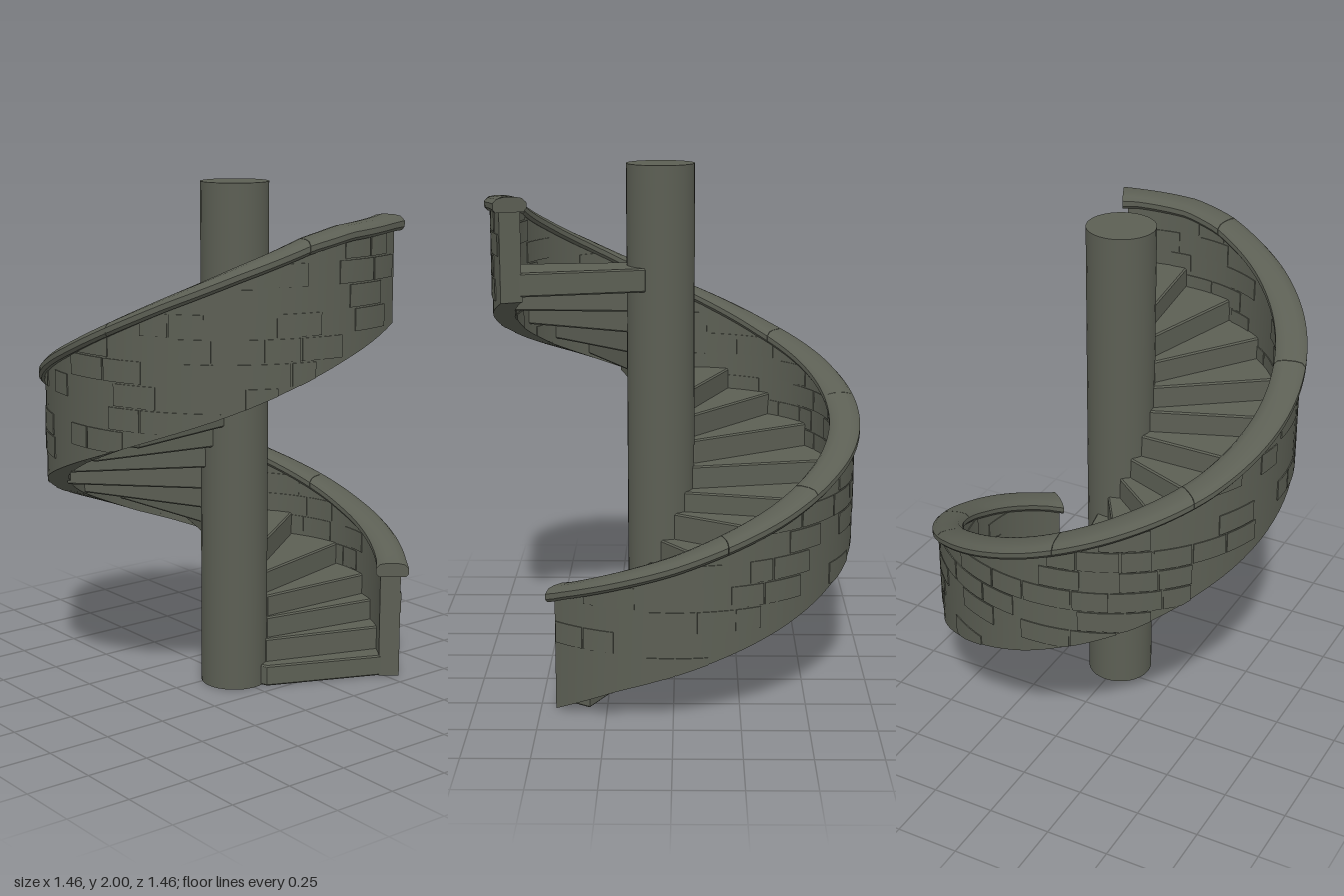
import * as THREE from 'three';
import { toCreasedNormals } from 'three/addons/utils/BufferGeometryUtils.js';

const RAD = Math.PI / 180;
const START = -39, END = 293;
const COLUMN_Z = 0.055;

// Heights along the spiral: [angle in degrees, height]
const TOP = [[-45, 0.47], [-39, 0.48], [0, 0.63], [34, 0.78], [57, 0.89], [90, 1.03], [123, 1.18], [146, 1.28],
  [180, 1.45], [215, 1.64], [236, 1.745], [257, 1.84], [270, 1.875], [300, 1.9]];
const BOTTOM = [[-39, 0], [-17, 0.12], [0, 0.19], [34, 0.33], [57, 0.43], [90, 0.56], [124, 0.72], [147, 0.84],
  [180, 0.99], [212, 1.13], [235, 1.23], [270, 1.4], [293, 1.5]];

// Treads: [angle of the front edge, height of the top]; the lowest ones are narrow
const TREADS = [[-39, 0.085], [-31, 0.18], [-22, 0.265], [-14, 0.35], [3, 0.44], [25, 0.535], [49, 0.64], [70, 0.72],
  [97, 0.81], [120, 0.905], [141, 0.995], [159, 1.08], [180, 1.17], [201, 1.26], [215, 1.35], [232, 1.44],
  [250, 1.53], [270, 1.61]];

function heightAt(table, a) {
  let i = 1;
  while (i < table.length - 1 && table[i][0] < a) i++;
  const [a0, y0] = table[i - 1], [a1, y1] = table[i];
  return y0 + (y1 - y0) * THREE.MathUtils.clamp((a - a0) / (a1 - a0), 0, 1);
}
const topAt = (a) => heightAt(TOP, a);
const bottomAt = (a) => heightAt(BOTTOM, a);

// Sweeps a counter-clockwise (radius, height) section around the spiral, with end caps
function sweep(a0, a1, section, stepSize = 4) {
  const n = Math.max(1, Math.ceil((a1 - a0) / stepSize));
  const pos = [], idx = [];
  let m = 0;
  for (let k = 0; k <= n; k++) {
    const a = a0 + (a1 - a0) * k / n;
    const ring = section(a);
    m = ring.length;
    for (const [r, y] of ring) pos.push(r * Math.cos(a * RAD), y, -r * Math.sin(a * RAD));
  }
  for (let k = 0; k < n; k++) {
    for (let i = 0; i < m; i++) {
      const j = (i + 1) % m, A = k * m, B = A + m;
      idx.push(A + i, B + i, B + j, A + i, B + j, A + j);
    }
  }
  for (let i = 1; i < m - 1; i++) {
    idx.push(0, i, i + 1, n * m, n * m + i + 1, n * m + i);
  }
  const g = new THREE.BufferGeometry();
  g.setAttribute('position', new THREE.Float32BufferAttribute(pos, 3));
  g.setIndex(idx);
  return toCreasedNormals(g, 0.65);
}

const band = (r0, r1, low, high) => (a) => {
  const y0 = low(a), y1 = Math.max(y0, high(a));
  return [[r0, y0], [r1, y0], [r1, y1], [r0, y1]];
};

function seeded(seed) {
  return () => (seed = (seed * 16807) % 2147483647) / 2147483647;
}

export function createModel() {
  const model = new THREE.Group();
  const stone = new THREE.MeshStandardMaterial({ color: 0x5c5f54 });
  stone.name = 'mossy grey stone';
  const add = (name, geometry, parent = model) => {
    const mesh = new THREE.Mesh(geometry, stone);
    mesh.name = name;
    parent.add(mesh);
    return mesh;
  };
  const group = (name) => {
    const g = new THREE.Group();
    g.name = name;
    model.add(g);
    return g;
  };

  // Central column
  add('column', new THREE.CylinderGeometry(0.132, 0.132, 2, 32)).position.set(0, 1, COLUMN_Z);

  // Wedge treads, their front edges running tangent to the column
  const treads = group('treads');
  const inner = (deg, r) => [r * Math.cos(deg * RAD), r * Math.sin(deg * RAD) - COLUMN_Z];
  TREADS.forEach(([a, top], i) => {
    const first = i === 0, last = i === TREADS.length - 1;
    const b = last ? END : TREADS[i + 1][0] + 1;
    const shape = new THREE.Shape();
    shape.moveTo(...inner(a - (first ? 34 : 24), first ? 0.16 : 0.135));
    for (let k = 0; k <= 4; k++) {
      const t = (a + (b - a) * k / 4) * RAD;
      shape.lineTo(0.63 * Math.cos(t), 0.63 * Math.sin(t));
    }
    shape.lineTo(...inner(b + (last ? 42 : 12), 0.135));
    shape.lineTo(0, -COLUMN_Z);
    shape.closePath();
    const bevel = 0.006;
    const bottom = first ? 0 : TREADS[i - 1][1] - 0.012;
    const g = new THREE.ExtrudeGeometry(shape, {
      depth: top - bottom - 2 * bevel, bevelEnabled: true, bevelSize: bevel, bevelOffset: -bevel,
      bevelThickness: bevel, bevelSegments: 1,
    });
    g.rotateX(-Math.PI / 2);
    add('tread', g, treads).position.y = bottom + bevel;
  });

  // Curved parapet wall
  add('parapetWall', sweep(START, END, band(0.622, 0.704, bottomAt, (a) => topAt(a) - 0.03)));

  // Slightly raised blocks in level courses on both wall faces
  const blocks = group('wallBlocks');
  const random = seeded(71);
  const course = 0.088, gap = 0.006;
  for (const [r0, r1] of [[0.7, 0.708], [0.618, 0.626]]) {
    for (let row = 0; row < 21; row++) {
      let a = START + random() * 8;
      while (a < END - 6) {
        const b = Math.min(END, a + 8 + random() * 9);
        const low = (t) => Math.max(row * course + gap / 2, bottomAt(t));
        const high = (t) => Math.min((row + 1) * course - gap / 2, topAt(t) - 0.04);
        const mid = (a + b) / 2;
        if (random() < 0.5 && high(mid) - low(mid) > 0.03) {
          add('wallBlock', sweep(a + 0.3, b - 0.3, band(r0, r1, low, high), 3), blocks);
        }
        a = b;
      }
    }
  }

  // Rounded coping stones, swelling a little at both ends of the rail
  const coping = group('coping');
  const joints = [-40.5, 16, 47, 100, 141, 196, 256, 295];
  const profile = [[-0.05, -0.05], [0.05, -0.05], [0.06, -0.038], [0.06, -0.018], [0.045, -0.003],
    [0.02, 0.002], [-0.02, 0.002], [-0.045, -0.003], [-0.06, -0.018], [-0.06, -0.038]];
  for (let i = 0; i < joints.length - 1; i++) {
    const ringAt = (a) => {
      const swell = 1 + 0.1 * Math.max(0, 1 - Math.min(a - joints[0], joints[7] - a) / 5);
      return profile.map(([r, y]) => [0.669 + r * swell, topAt(a) + y * swell]);
    };
    add('copingStone', sweep(joints[i] + 0.08, joints[i + 1] - 0.08, ringAt, 3), coping);
  }

  return model;
}
